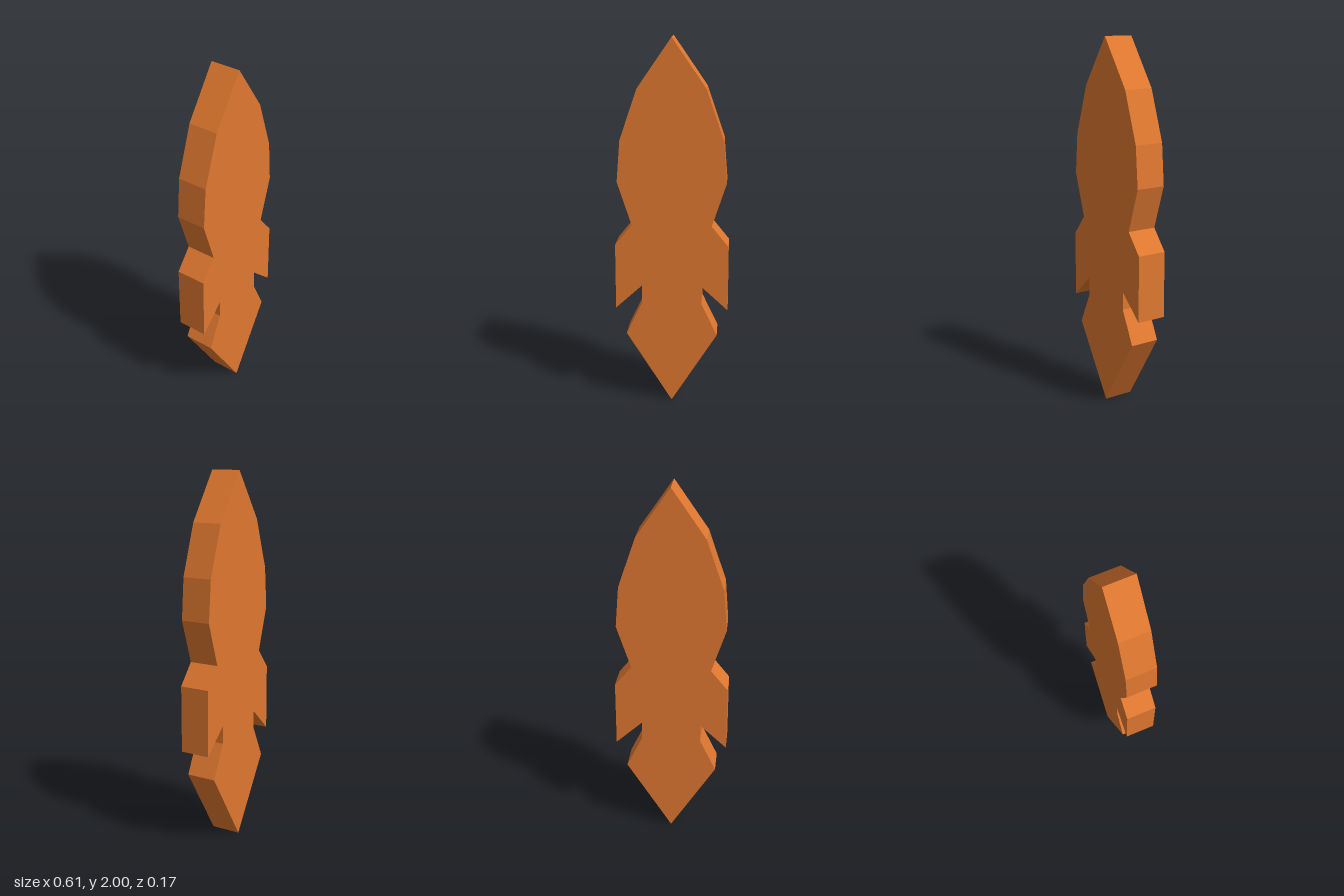
import * as THREE from 'three';

export function createModel() {
  const model = new THREE.Group();
  const orange = new THREE.MeshStandardMaterial({ color: 0xe07830 });
  orange.name = 'orange';

  // Half outline from nose tip to flame tip: hull, fin, nozzle, flame
  const half = [
    [0, 2], [0.18, 1.74], [0.273, 1.47], [0.291, 1.247], [0.214, 1.012],
    [0.305, 0.9], [0.305, 0.541], [0.162, 0.672], [0.162, 0.574],
    [0.248, 0.394], [0, 0],
  ];
  // Mirror the inner points to close the silhouette
  const mirrored = half.slice(1, -1).reverse().map(([x, y]) => [-x, y]);
  const outline = [...half, ...mirrored].map(([x, y]) => new THREE.Vector2(x, y));

  // Flat rocket plate, centred in depth
  const depth = 0.166;
  const geometry = new THREE.ExtrudeGeometry(new THREE.Shape(outline), { depth, bevelEnabled: false });
  geometry.translate(0, 0, -depth / 2);

  const rocket = new THREE.Mesh(geometry, orange);
  rocket.name = 'rocketPlate';
  model.add(rocket);
  return model;
}
